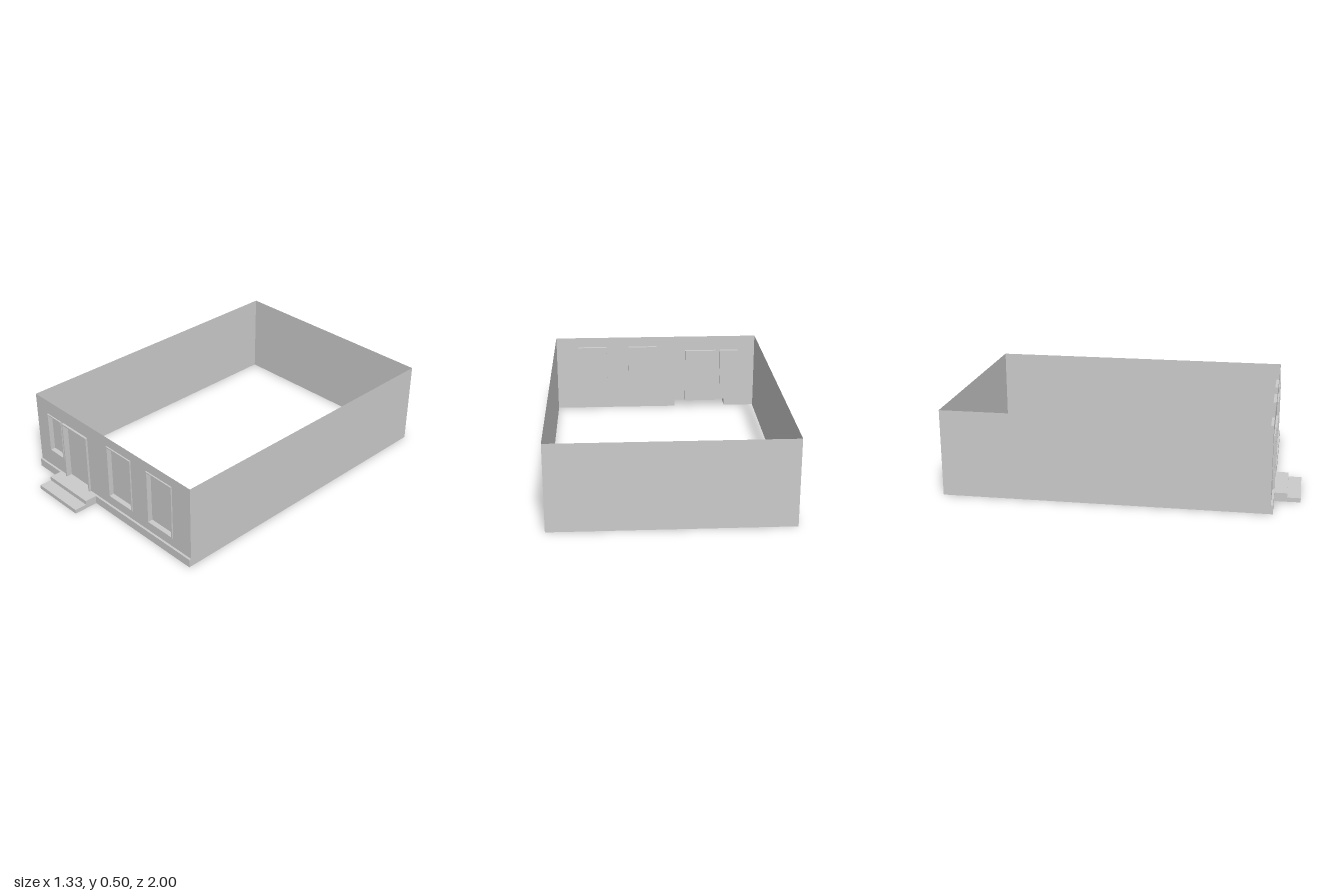
import * as THREE from 'three';

const W = 0.667, H = 0.5, BACK = -1, FRONT = 0.84, PLINTH_Z = 0.853, PLINTH_Y = 0.05, PANE_Z = 0.818;
const material = new THREE.MeshStandardMaterial({ color: 0xcccccc, side: THREE.DoubleSide, flatShading: true });

// openings: inner rectangle, frame width and how far the frame stands out
const openings = [
  { name: 'smallWindow', x0: -0.553, x1: -0.434, y0: 0.166, y1: 0.404, trim: 0.007, out: 0.008 },
  { name: 'door', x0: -0.403, x1: -0.198, y0: PLINTH_Y, y1: 0.404, trim: 0.009, out: 0.013, sill: false },
  { name: 'middleWindow', x0: -0.003, x1: 0.185, y0: 0.115, y1: 0.436, trim: 0.007, out: 0.008 },
  { name: 'leftWindow', x0: 0.332, x1: 0.52, y0: 0.115, y1: 0.436, trim: 0.007, out: 0.008 },
];

function mesh(name, geometry) {
  const m = new THREE.Mesh(geometry, material);
  m.name = name;
  return m;
}

// strip of quads: a (z, y) profile swept from x0 to x1
function strip(name, x0, x1, profile) {
  const pos = [], idx = [];
  profile.forEach(([z, y], i) => {
    pos.push(x0, y, z, x1, y, z);
    if (i) {
      const k = 2 * i;
      idx.push(k - 2, k, k - 1, k - 1, k, k + 1);
    }
  });
  const g = new THREE.BufferGeometry();
  g.setAttribute('position', new THREE.Float32BufferAttribute(pos, 3));
  g.setIndex(idx);
  const flat = g.toNonIndexed();
  flat.computeVertexNormals();
  return mesh(name, flat);
}

// flat panel across x, given by a list of (z, y) corners
function sidePanel(name, x, corners) {
  const shape = new THREE.Shape(corners.map(([z, y]) => new THREE.Vector2(-z, y)));
  const m = mesh(name, new THREE.ShapeGeometry(shape).rotateY(Math.PI / 2));
  m.position.x = x;
  return m;
}

function rectPoints(x0, x1, y0, y1) {
  return [[x0, y0], [x1, y0], [x1, y1], [x0, y1]].map(([x, y]) => new THREE.Vector2(x, y));
}

function buildOpening({ name, x0, x1, y0, y1, trim, out, sill = true }) {
  const group = new THREE.Group();
  group.name = name;

  // raised surround, open at the foot for the door
  let outline;
  if (sill) {
    outline = new THREE.Shape(rectPoints(x0 - trim, x1 + trim, y0 - trim, y1 + trim));
    outline.holes.push(new THREE.Path(rectPoints(x0, x1, y0, y1).reverse()));
  } else {
    outline = new THREE.Shape([
      [x0 - trim, y0], [x0, y0], [x0, y1], [x1, y1], [x1, y0],
      [x1 + trim, y0], [x1 + trim, y1 + trim], [x0 - trim, y1 + trim],
    ].map(([x, y]) => new THREE.Vector2(x, y)));
  }
  const frame = mesh(name + 'Frame', new THREE.ExtrudeGeometry(outline, { depth: out, bevelEnabled: false }));
  frame.position.z = FRONT;
  group.add(frame);

  // recess: floor, pane and ceiling in one strip, plus two jambs
  group.add(strip(name + 'Recess', x0, x1, [[FRONT, y0], [PANE_Z, y0], [PANE_Z, y1], [FRONT, y1]]));
  for (const x of [x0, x1]) {
    group.add(sidePanel(name + 'Jamb', x, [[FRONT, y0], [PANE_Z, y0], [PANE_Z, y1], [FRONT, y1]]));
  }
  return group;
}

export function createModel() {
  const model = new THREE.Group();
  model.name = 'house';

  // front wall with holes; the door opening runs down to the plinth
  const door = openings[1];
  const wall = new THREE.Shape([
    [-W, PLINTH_Y], [door.x0, PLINTH_Y], [door.x0, door.y1], [door.x1, door.y1],
    [door.x1, PLINTH_Y], [W, PLINTH_Y], [W, H], [-W, H],
  ].map(([x, y]) => new THREE.Vector2(x, y)));
  for (const o of openings) {
    if (o !== door) wall.holes.push(new THREE.Path(rectPoints(o.x0, o.x1, o.y0, o.y1).reverse()));
  }
  const frontWall = mesh('frontWall', new THREE.ShapeGeometry(wall));
  frontWall.position.z = FRONT;
  model.add(frontWall);

  // back wall and side walls, the sides reaching out to the plinth at the foot
  model.add(strip('backWall', -W, W, [[BACK, 0], [BACK, H]]));
  for (const s of [-1, 1]) {
    model.add(sidePanel(s > 0 ? 'leftWall' : 'rightWall', s * W, [
      [BACK, 0], [PLINTH_Z, 0], [PLINTH_Z, PLINTH_Y], [FRONT, PLINTH_Y], [FRONT, H], [BACK, H],
    ]));
  }

  // hollow entrance steps, open underneath
  const S0 = -0.47, S1 = -0.13;
  const steps = new THREE.Group();
  steps.name = 'steps';
  steps.add(strip('treads', S0, S1, [[1, 0], [1, 0.025], [0.925, 0.025], [0.925, PLINTH_Y], [FRONT, PLINTH_Y]]));
  for (const x of [S0, S1]) {
    steps.add(sidePanel('stepSide', x, [
      [PLINTH_Z, 0], [1, 0], [1, 0.025], [0.925, 0.025], [0.925, PLINTH_Y], [PLINTH_Z, PLINTH_Y],
    ]));
  }
  model.add(steps);

  // plinth on both sides of the steps
  for (const [a, b] of [[-W, S0], [S1, W]]) {
    model.add(strip('plinth', a, b, [[PLINTH_Z, 0], [PLINTH_Z, PLINTH_Y], [FRONT, PLINTH_Y]]));
  }

  for (const o of openings) model.add(buildOpening(o));
  return model;
}
